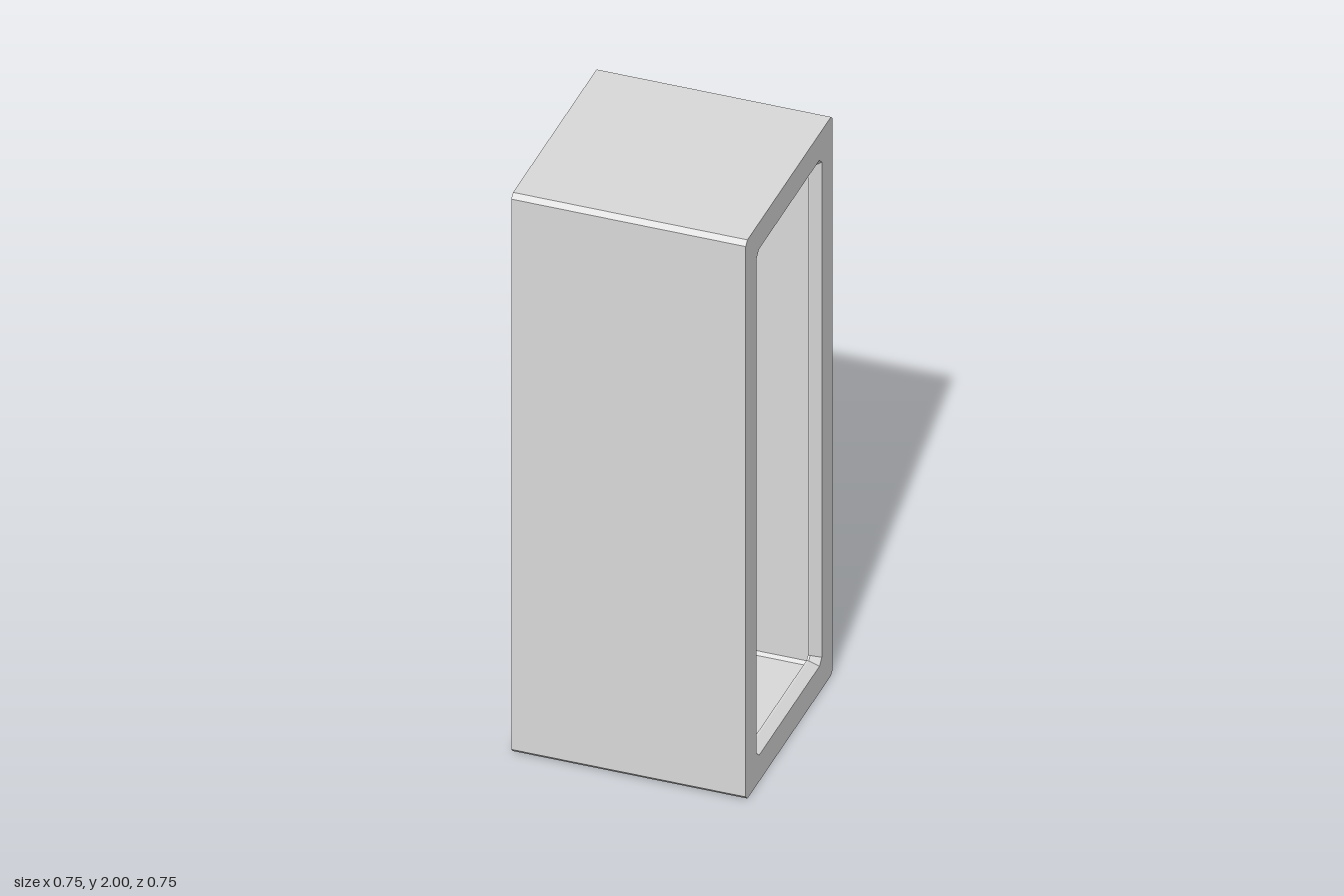
import * as THREE from 'three';

// Octagonal section across the x axis, inset from the overall outline by a margin
function section(x, margin, c) {
  const a = 1 - margin, b = 0.375 - margin;
  return [
    [a, -b + c], [a, b - c], [a - c, b], [-a + c, b],
    [-a, b - c], [-a, -b + c], [-a + c, -b], [a - c, -b],
  ].map(([y, z]) => new THREE.Vector3(x, 1 + y, z));
}

// All eight corners gathered on the axis, to close an end
function centre(x) {
  return Array.from({ length: 8 }, () => new THREE.Vector3(x, 1, 0));
}

// Faceted skin through successive sections, wound to face outwards
function loft(rings) {
  const points = [];
  for (let r = 0; r + 1 < rings.length; r++) {
    const p = rings[r], q = rings[r + 1];
    for (let i = 0; i < 8; i++) {
      const j = (i + 1) % 8;
      if (!p[i].equals(p[j])) points.push(p[i], p[j], q[j]);
      if (!q[i].equals(q[j])) points.push(p[i], q[j], q[i]);
    }
  }
  const geometry = new THREE.BufferGeometry().setFromPoints(points);
  geometry.computeVertexNormals();
  return geometry;
}

export function createModel() {
  const group = new THREE.Group();
  group.name = 'openCabinet';
  const grey = new THREE.MeshStandardMaterial({ color: 0xd9d9d9, flatShading: true });
  grey.name = 'lightGrey';

  const addPart = (name, rings) => {
    const mesh = new THREE.Mesh(loft(rings), grey);
    mesh.name = name;
    group.add(mesh);
  };

  // Closed outer casing, ending in the flat rim around the opening
  addPart('casing', [
    centre(-0.375),
    section(-0.375, 0, 0.015),
    section(0.375, 0, 0.015),
    section(0.375, 0.094, 0.02),
  ]);

  // Two-step bevelled lip, with its hidden rear face
  addPart('lip', [
    section(0.375, 0.094, 0.02),
    section(0.36, 0.104, 0.016),
    section(0.345, 0.114, 0.012),
    section(0.338, 0.114, 0.012),
    section(0.338, 0.05, 0.01),
  ]);

  // Wider compartment behind the lip
  addPart('compartment', [
    section(0.338, 0.05, 0.01),
    section(-0.037, 0.05, 0.01),
    centre(-0.037),
  ]);

  return group;
}
